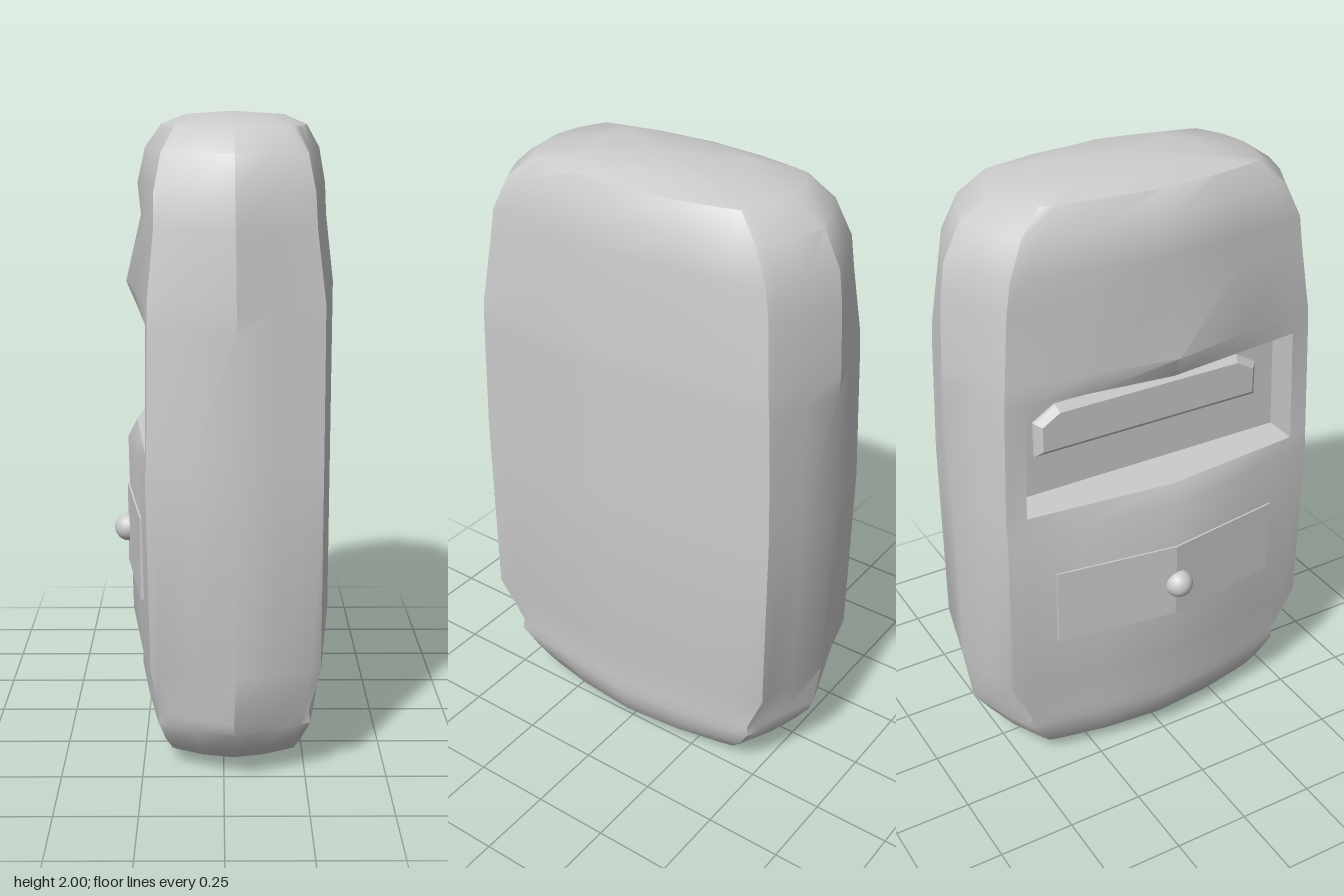
import * as THREE from 'three';
import { toCreasedNormals } from 'three/addons/utils/BufferGeometryUtils.js';

// Columns across each side of the body, corner (-1) to corner (+1)
const U = [-1, -0.88, -0.5, 0, 0.5, 0.88, 1];
const N = U.length - 1;

// Body levels: y, right corner x, right middle x, left corner x, corner z, middle z
const LEVELS = [
  [0.005, -0.09, -0.13, 0.13, 0.25, 0.29],
  [0.02, -0.13, -0.18, 0.19, 0.34, 0.4],
  [0.05, -0.16, -0.22, 0.22, 0.4, 0.47],
  [0.1, -0.18, -0.25, 0.24, 0.44, 0.525],
  [0.17, -0.2, -0.27, 0.265, 0.48, 0.575],
  [0.21, -0.2, -0.27, 0.26, 0.48, 0.59],
  [0.37, -0.22, -0.3, 0.29, 0.55, 0.613],
  [0.96, -0.23, -0.31, 0.29, 0.55, 0.613],
  [1.02, -0.225, -0.28, 0.29, 0.55, 0.613],
  [1.4, -0.22, -0.28, 0.29, 0.535, 0.613],
  [1.47, -0.22, -0.31, 0.29, 0.53, 0.613],
  [1.68, -0.2, -0.26, 0.265, 0.505, 0.6],
  [1.78, -0.2, -0.27, 0.26, 0.49, 0.585],
  [1.89, -0.18, -0.245, 0.24, 0.44, 0.53],
  [1.96, -0.145, -0.195, 0.2, 0.365, 0.425],
  [1.99, -0.08, -0.12, 0.13, 0.2, 0.25],
];

// One closed loop around the body: front, left, back, right side
function bodyRing([y, xr, xrm, xl, zc, zm]) {
  const mid = (xr + xl) / 2, half = (xl - xr) / 2;
  // sides are folded in the middle at full girth and rounder where the body narrows
  const power = 1 + Math.min(1, (0.613 - zm) * 5);
  const bow = (u, corner, middle) => corner + (middle - corner) * (1 - Math.abs(u) ** power);
  const sides = [
    (u) => [mid + half * u, y, bow(u, zc, zm)],
    (u) => [bow(u, xl, xl + 0.06), y, -zc * u],
    (u) => [mid - half * u, y, -bow(u, zc, zm)],
    (u) => [bow(u, xr, xrm), y, zc * u],
  ];
  return sides.flatMap((side) => U.slice(0, N).map((u) => new THREE.Vector3(...side(u))));
}

// A loop shrunk to one point, closing an end
const closeAt = (ring, x, y) => ring.map(() => new THREE.Vector3(x, y, 0));

// Skin between closed loops, leaving out cells where skip(level, column) is true
function skin(rings, skip = () => false) {
  const pos = [];
  const tri = (a, b, c) => {
    const area = b.clone().sub(a).cross(c.clone().sub(a)).length();
    if (area > 1e-9) for (const v of [a, b, c]) pos.push(v.x, v.y, v.z);
  };
  for (let i = 0; i < rings.length - 1; i++) {
    const n = rings[i].length;
    for (let j = 0; j < n; j++) {
      if (skip(i, j)) continue;
      const k = (j + 1) % n;
      tri(rings[i][j], rings[i][k], rings[i + 1][k]);
      tri(rings[i][j], rings[i + 1][k], rings[i + 1][j]);
    }
  }
  const geo = new THREE.BufferGeometry();
  geo.setAttribute('position', new THREE.Float32BufferAttribute(pos, 3));
  return toCreasedNormals(geo, 0.6);
}

export function createModel() {
  const model = new THREE.Group();
  const grey = new THREE.MeshStandardMaterial({ color: 0xcccccc });
  const greyDouble = new THREE.MeshStandardMaterial({ color: 0xcccccc, side: THREE.DoubleSide });
  const add = (name, geo, mat = grey) => {
    const mesh = new THREE.Mesh(geo, mat);
    mesh.name = name;
    model.add(mesh);
    return mesh;
  };

  // Rounded body with a window opening in its right side
  const loops = LEVELS.map(bodyRing);
  const rings = [closeAt(loops[0], 0.03, 0), ...loops, closeAt(loops[0], 0.03, 2)];
  const sill = LEVELS.findIndex(([y]) => y === 1.02) + 1;
  const first = 3 * N + 1, last = 4 * N - 1;
  add('body', skin(rings, (i, j) => i === sill && j >= first && j < last));

  // Window recess: walls running in from the opening to a flat back
  const depthX = -0.12;
  const opening = [
    ...rings[sill].slice(first, last + 1),
    ...rings[sill + 1].slice(first, last + 1).reverse(),
  ];
  const inner = opening.map((v) => new THREE.Vector3(depthX, v.y, v.z));
  add('windowRecess', skin([opening, inner, closeAt(inner, depthX, 1.21)]), greyDouble);

  // Raised bevelled panel on the back of the recess
  const w = 0.38, h = 0.06;
  const panel = new THREE.Shape([
    [-w, -h], [w, -h], [w, h * 0.4], [w - 0.06, h], [-w + 0.06, h], [-w, h * 0.4],
  ].map(([x, y]) => new THREE.Vector2(x, y)));
  const relief = add('recessPanel', new THREE.ExtrudeGeometry(panel, {
    depth: 0.01, bevelThickness: 0.02, bevelSize: 0.02, bevelSegments: 1,
  }));
  relief.rotation.y = -Math.PI / 2;
  relief.position.set(depthX, 1.24, 0);

  // Drawer front, folded to follow the body
  const drawer = new THREE.Shape([
    [-0.255, -0.4], [-0.2, -0.4], [-0.2, 0.4], [-0.255, 0.4], [-0.314, 0],
  ].map(([x, z]) => new THREE.Vector2(x, z)));
  const drawerGeo = new THREE.ExtrudeGeometry(drawer, { depth: 0.26, bevelEnabled: false });
  drawerGeo.rotateX(-Math.PI / 2);
  add('drawerFront', drawerGeo).position.y = 0.54;

  // Drawer knob
  add('drawerKnob', new THREE.SphereGeometry(0.046, 24, 16)).position.set(-0.312, 0.655, 0.01);

  return model;
}
